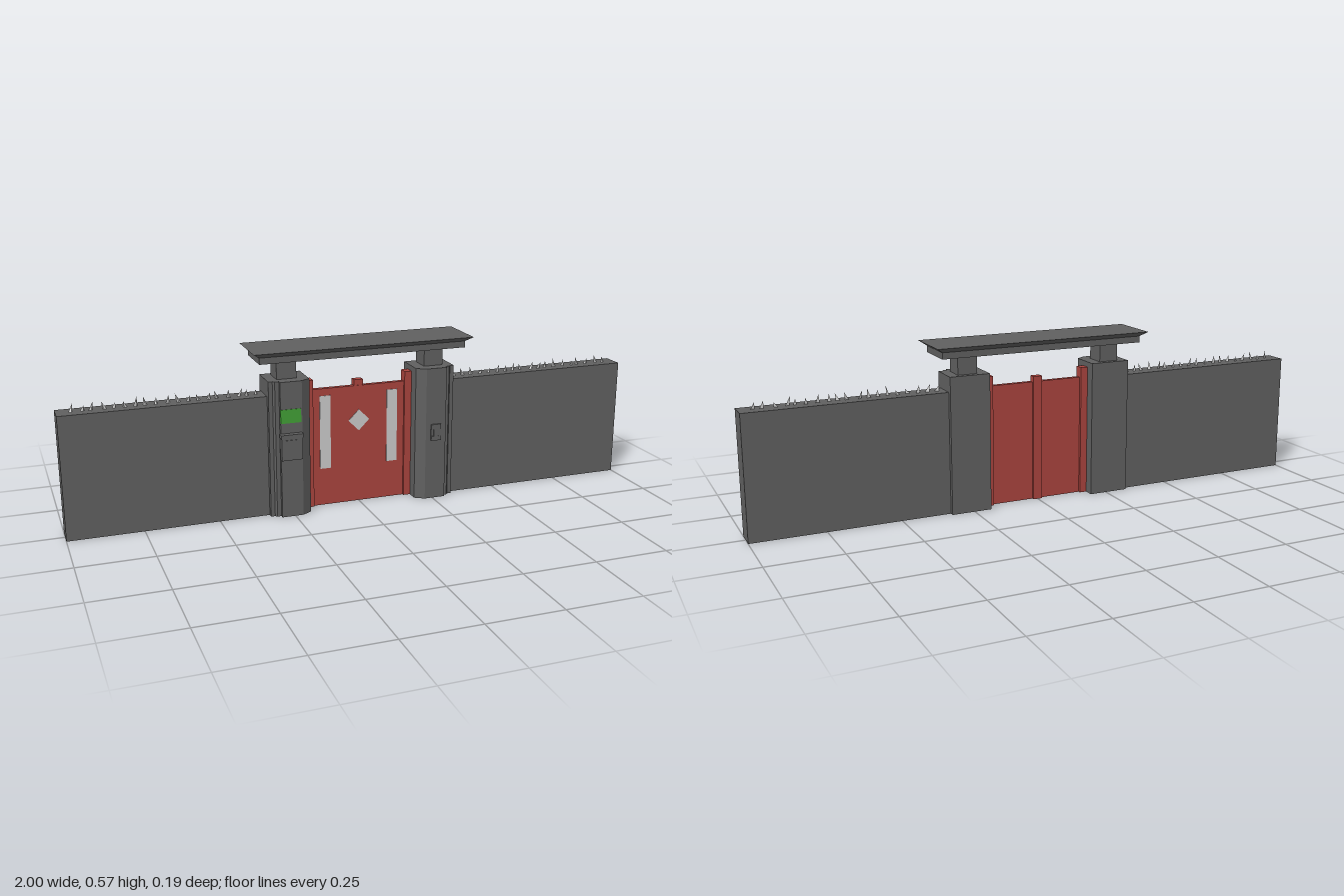
import * as THREE from 'three';

const mat = (color) => new THREE.MeshStandardMaterial({ color, flatShading: true });

export function createModel() {
  const group = new THREE.Group();
  const stone = mat(0x606060), red = mat(0xaa443e), green = mat(0x42a036), pale = mat(0xcccccc);

  const add = (name, geo, material) => {
    const mesh = new THREE.Mesh(geo, material);
    mesh.name = name;
    group.add(mesh);
    return mesh;
  };
  // box given by its extents on each axis
  const box = (name, x0, x1, y0, y1, z0, z1, material) => {
    const geo = new THREE.BoxGeometry(x1 - x0, y1 - y0, z1 - z0);
    geo.translate((x0 + x1) / 2, (y0 + y1) / 2, (z0 + z1) / 2);
    return add(name, geo, material);
  };

  // pillar plan: chamfered towards the gate, stepped towards the wall
  const plan = [[0.19, -0.053], [0.19, 0.055], [0.222, 0.075], [0.296, 0.075], [0.296, 0.062],
    [0.31, 0.062], [0.316, 0.055], [0.33, 0.055], [0.33, -0.053]];

  let seed = 7;
  const rand = () => (seed = (seed * 16807) % 2147483647) / 2147483647;

  for (const s of [-1, 1]) {
    const side = s > 0 ? 'left' : 'right';
    const span = (a, b) => (s > 0 ? [a, b] : [-b, -a]);

    box(side + 'Wall', ...span(0.32, 1), 0, 0.415, -0.038, 0.038, stone);

    // extruded upward: shape y becomes -z
    const shape = new THREE.Shape(plan.map(([x, z]) => new THREE.Vector2(s * x, -z)));
    const pillar = new THREE.ExtrudeGeometry(shape, { depth: 0.468, bevelEnabled: false });
    pillar.rotateX(-Math.PI / 2);
    add(side + 'Pillar', pillar, stone);
    box(side + 'RoofSupport', ...span(0.228, 0.296), 0.468, 0.532, -0.035, 0.035, stone);

    // gate leaf with its jamb and window strip
    box(side + 'GateLeaf', ...span(0.001, 0.19), 0, 0.415, -0.008, 0.008, red);
    box(side + 'GateJamb', ...span(0.165, 0.195), 0, 0.45, -0.018, 0.016, red);
    box(side + 'GateStrip', ...span(0.102, 0.14), 0.132, 0.39, 0.007, 0.01, pale);

    // slanted shards along the wall top
    const shards = new THREE.Group();
    shards.name = side + 'WallShards';
    const count = 19;
    for (let i = 0; i < count; i++) {
      const h = 0.02 + 0.014 * rand();
      const geo = new THREE.ConeGeometry(0.008, h, 3);
      geo.translate(0, h / 2, 0);
      const shard = new THREE.Mesh(geo, pale);
      shard.name = 'shard';
      shard.scale.z = 0.5;
      shard.position.set(s * (0.345 + (0.635 * (i + 0.4 * rand())) / count), 0.413, 0.006 * (rand() - 0.5) + 0.003);
      shard.rotation.set(0.5 * (rand() - 0.5), rand() - 0.5, 0.9 * (rand() - 0.5));
      shards.add(shard);
    }
    group.add(shards);
  }

  // centre of the gate
  box('gateCentrePost', -0.016, 0.016, 0, 0.435, -0.018, 0.006, red);
  const diamond = new THREE.BoxGeometry(0.053, 0.053, 0.004);
  diamond.rotateZ(Math.PI / 4);
  diamond.translate(0, 0.293, 0.008);
  add('gateDiamond', diamond, pale);

  // roof: slab with a flared cap
  box('roofSlab', -0.362, 0.362, 0.532, 0.554, -0.072, 0.072, stone);
  const cap = new THREE.BoxGeometry(0.77, 0.016, 0.186);
  const p = cap.attributes.position;
  for (let i = 0; i < p.count; i++) {
    if (p.getY(i) < 0) p.setXYZ(i, Math.sign(p.getX(i)) * 0.362, p.getY(i), Math.sign(p.getZ(i)) * 0.072);
  }
  cap.translate(0, 0.562, 0);
  cap.computeVertexNormals();
  add('roofCap', cap, stone);

  // name plate and letter box on the right pillar
  box('namePlate', -0.296, -0.226, 0.328, 0.375, 0.07, 0.077, green);
  box('letterBox', -0.298, -0.226, 0.204, 0.28, 0.07, 0.091, stone);
  box('letterBoxLid', -0.3, -0.224, 0.28, 0.293, 0.07, 0.094, stone);
  box('letterBoxSlot', -0.286, -0.238, 0.268, 0.274, 0.088, 0.093, stone);

  // intercom on the left pillar
  box('intercomTop', 0.24, 0.276, 0.252, 0.27, 0.07, 0.081, stone);
  box('intercomStem', 0.25, 0.266, 0.228, 0.252, 0.07, 0.081, stone);
  box('intercomBase', 0.24, 0.276, 0.212, 0.228, 0.07, 0.081, stone);
  box('intercomBack', 0.24, 0.276, 0.212, 0.27, 0.07, 0.078, stone);

  return group;
}
